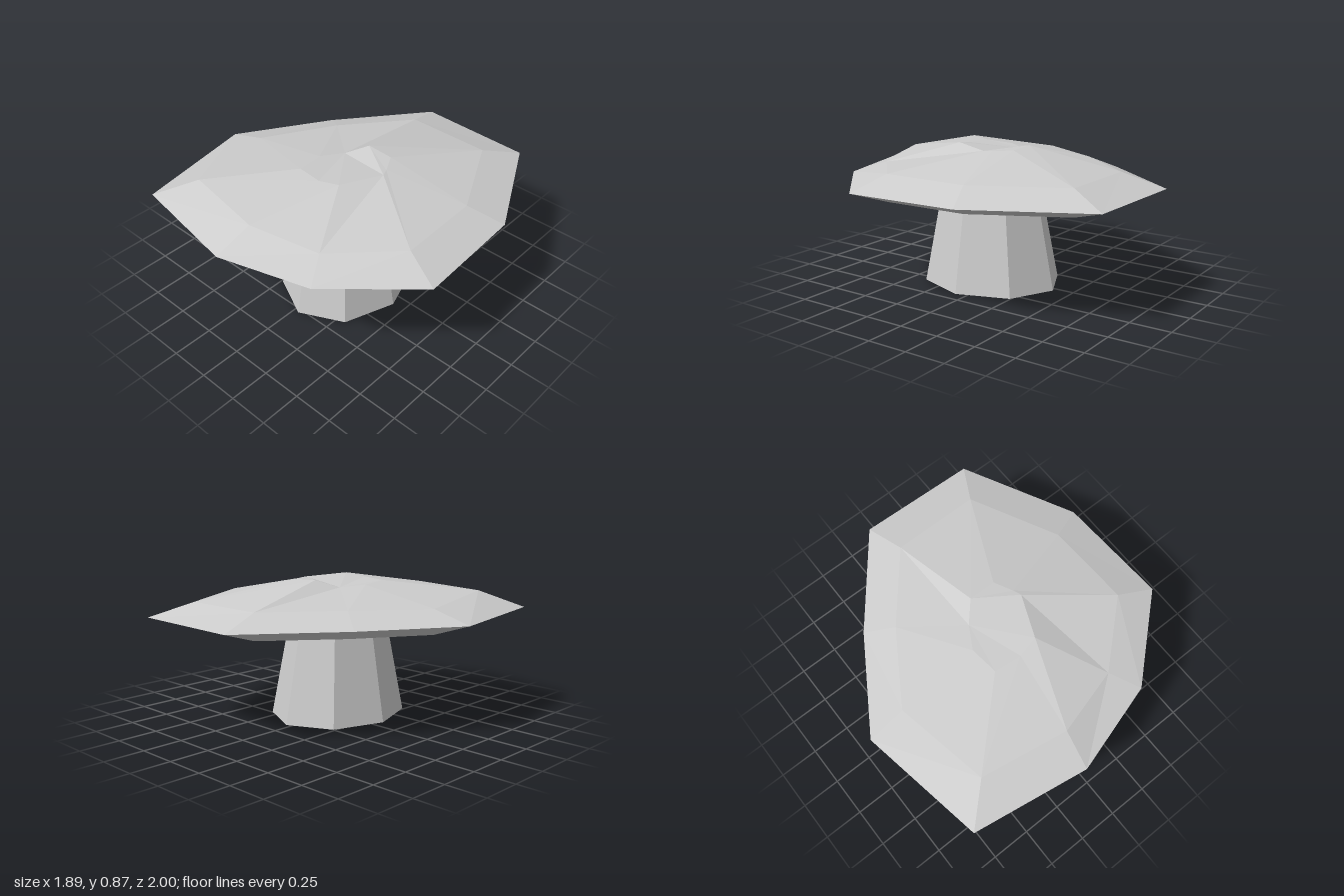
import * as THREE from 'three';

export function createModel() {
  const group = new THREE.Group();
  const stone = new THREE.MeshStandardMaterial({ color: 0xcccccc });
  stone.name = 'pale grey';

  // Cap cross-sections as [x, y, z], clockwise seen from above, starting at the back
  const crown = [
    [-0.01, 0.87, -0.17], [0.16, 0.862, -0.17], [0.22, 0.855, -0.06],
    [0.24, 0.855, -0.01], [0.13, 0.868, 0.25], [0, 0.85, 0.28],
    [-0.17, 0.845, 0.26], [-0.19, 0.835, 0.08], [-0.11, 0.825, -0.06],
  ];
  const shoulder = [
    [-0.11, 0.755, -0.74], [0.43, 0.755, -0.74], [0.7, 0.755, -0.21],
    [0.72, 0.76, 0.32], [0.36, 0.74, 0.65], [-0.06, 0.78, 0.77],
    [-0.6, 0.78, 0.68], [-0.71, 0.745, 0.09], [-0.44, 0.755, -0.34],
  ];
  const rim = [
    [-0.17, -1], [0.56, -0.98], [0.91, -0.3], [0.945, 0.4], [0.47, 0.83],
    [-0.09, 0.995], [-0.81, 0.88], [-0.95, 0.1], [-0.6, -0.46],
  ].map(([x, z]) => [x, 0.675, z]);
  const underside = shoulder.map(([x, , z]) => [x, 0.595, z]);

  const n = crown.length;
  const rings = [crown, shoulder, rim, underside];
  const index = [];
  for (let r = 0; r < rings.length - 1; r++) {
    for (let i = 0; i < n; i++) {
      const j = (i + 1) % n;
      const a = r * n, b = a + n;
      index.push(a + i, b + j, b + i, a + i, a + j, b + j);
    }
  }
  // Dented crown and flat underside
  index.push(0, 2, 1, 0, 3, 2, 8, 3, 0);
  for (let i = 3; i < n - 2; i++) index.push(8, i + 1, i);
  for (let i = 1; i < n - 1; i++) index.push(3 * n, 3 * n + i, 3 * n + i + 1);

  const indexed = new THREE.BufferGeometry();
  indexed.setAttribute('position', new THREE.Float32BufferAttribute(rings.flat(2), 3));
  indexed.setIndex(index);
  const capGeometry = indexed.toNonIndexed();
  capGeometry.computeVertexNormals();
  const cap = new THREE.Mesh(capGeometry, stone);
  cap.name = 'cap';
  group.add(cap);

  // Tapered eight-sided stem, slightly longer front to back
  let stemGeometry = new THREE.CylinderGeometry(0.28, 0.385, 0.6, 8);
  stemGeometry.scale(1, 1, 1.175);
  stemGeometry.translate(0.035, 0.3, 0.075);
  stemGeometry = stemGeometry.toNonIndexed();
  stemGeometry.computeVertexNormals();
  const stem = new THREE.Mesh(stemGeometry, stone);
  stem.name = 'stem';
  group.add(stem);

  return group;
}
